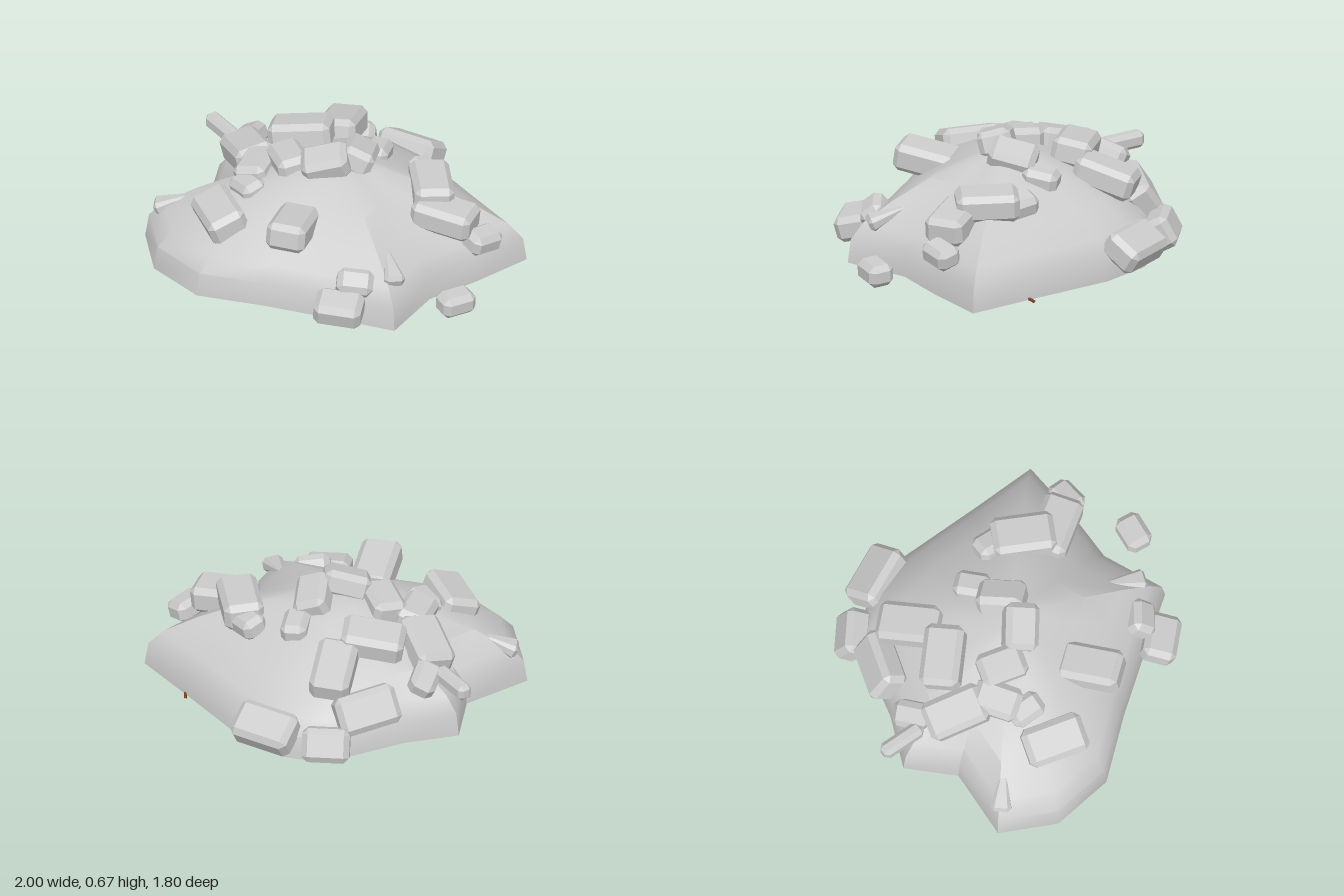
import * as THREE from 'three';
import { toCreasedNormals } from 'three/addons/utils/BufferGeometryUtils.js';
import { ConvexGeometry } from 'three/addons/geometries/ConvexGeometry.js';

const grey = new THREE.MeshStandardMaterial({ color: 0xcccccc });
const greyFlat = new THREE.MeshStandardMaterial({ color: 0xcccccc, flatShading: true });
const rust = new THREE.MeshStandardMaterial({ color: 0x7a4020 });
const UP = new THREE.Vector3(0, 1, 0);

// Ground outline of the mound (x, z), counter-clockwise from above
const outline = [
  [1, 0.03], [0.76, -0.24], [0.45, -0.6], [0.22, -0.76], [0, -0.8], [-0.4, -0.59],
  [-0.68, -0.5], [-0.7, -0.21], [-1, 0.02], [-0.92, 0.33], [-0.67, 0.56],
  [-0.3, 0.62], [0.1, 0.71], [0.39, 0.78], [0.54, 0.46], [0.76, 0.27],
];
// Rings of the mound: outline scale, height
const rings = [[1, 0.02], [0.98, 0.15], [0.9, 0.235], [0.72, 0.335], [0.48, 0.44], [0.24, 0.52]];

function moundGeometry() {
  const pos = [], idx = [], n = outline.length;
  for (const [s, y] of rings) for (const [x, z] of outline) pos.push(x * s, y, z * s);
  const apex = pos.length / 3, top = (rings.length - 1) * n;
  pos.push(0, 0.56, 0, 0, 0.02, 0);
  for (let i = 0; i < n; i++) {
    const j = (i + 1) % n;
    for (let r = 0; r < top; r += n) idx.push(r + i, r + j, r + j + n, r + i, r + j + n, r + i + n);
    idx.push(top + i, top + j, apex, apex + 1, j, i);
  }
  const g = new THREE.BufferGeometry();
  g.setAttribute('position', new THREE.Float32BufferAttribute(pos, 3));
  g.setIndex(idx);
  return toCreasedNormals(g, 0.65);
}

// Chamfered block; a taper below 1 narrows the +x end into a shard
function blockGeometry([l, h, w], taper) {
  const c = Math.min(0.03, h * 0.25);
  const pts = [];
  for (const sx of [-1, 1]) for (const sy of [-1, 1]) for (const sz of [-1, 1])
    for (const [ix, iy, iz] of [[0, c, c], [c, 0, c], [c, c, 0]]) {
      const k = sx > 0 ? taper : 1;
      pts.push(new THREE.Vector3(sx * (l / 2 - ix), sy * (h / 2 - iy) * k, sz * (w / 2 - iz) * k));
    }
  return new ConvexGeometry(pts);
}

// Rubble by size; each place is x, y, z, yaw and, where it breaks the slope rule, an outward tilt (degrees)
const rubble = [
  { name: 'largeBlock', size: [0.33, 0.15, 0.21], taper: 1, places: [
    [0.31, 0.17, -0.72, -25, 32], [-0.21, 0.27, -0.66, 27, 58], [-0.03, 0.42, -0.52, 83],
    [-0.22, 0.49, -0.33, -3], [-0.49, 0.41, -0.24, -64], [-0.58, 0.35, 0.28, -64],
    [-0.18, 0.4, 0.44, 80, -9], [0.5, 0.44, 0.03, -77, 3], [0.59, 0.37, 0.19, -15, 6],
  ] },
  { name: 'mediumBlock', size: [0.25, 0.14, 0.18], taper: 1, places: [
    [-0.01, 0.15, -0.82, 0, 62], [-0.42, 0.45, -0.03, 75], [-0.25, 0.51, -0.02, -65],
    [-0.05, 0.57, 0.06, 5, 22], [0.11, 0.55, -0.05, 85, 25], [0.1, 0.14, 0.78, -5, 15],
  ] },
  { name: 'smallBlock', size: [0.19, 0.12, 0.14], taper: 1, places: [
    [-0.5, 0.35, -0.47, 80, 30], [-0.45, 0.42, 0.12, -50], [0.19, 0.47, -0.21, 82],
    [0.45, 0.42, -0.13, -50], [0.69, 0.1, 0.59, 35, 3], [0.79, 0.26, 0.23, 45, 14],
    [0.17, 0.23, 0.67, 3, 40],
  ] },
  { name: 'slab', size: [0.25, 0.09, 0.08], taper: 1, places: [[-0.65, 0.36, -0.51, -50, 0]] },
  { name: 'shard', size: [0.21, 0.08, 0.11], taper: 0.3, places: [
    [-0.85, 0.25, 0.03, 0, 25], [0.35, 0.28, 0.58, 110],
  ] },
];

// Yaw the piece, then lean it outward, more steeply towards the foot of the mound
function settle(mesh, [x, y, z, yaw, tilt = 32 * Math.hypot(x, z)]) {
  const axis = new THREE.Vector3(z, 0, -x).normalize();
  mesh.position.set(x, y, z);
  mesh.quaternion.setFromAxisAngle(axis, THREE.MathUtils.degToRad(tilt));
  mesh.rotateOnAxis(UP, THREE.MathUtils.degToRad(yaw));
}

export function createModel() {
  const model = new THREE.Group();
  model.name = 'rubblePile';

  const mound = new THREE.Mesh(moundGeometry(), grey);
  mound.name = 'mound';
  model.add(mound);

  for (const { name, size, taper, places } of rubble) {
    const geometry = blockGeometry(size, taper);
    for (const place of places) {
      const mesh = new THREE.Mesh(geometry, greyFlat);
      mesh.name = name;
      settle(mesh, place);
      model.add(mesh);
    }
  }

  // Small bent rods poking out at ground level
  const curve = new THREE.CatmullRomCurve3([
    new THREE.Vector3(-0.03, 0.034, 0), new THREE.Vector3(0.005, 0.024, 0.006),
    new THREE.Vector3(0.03, 0.009, 0),
  ]);
  for (const [x, z, yaw] of [[0.76, -0.23, 1.4], [0.26, 0.54, 0.3]]) {
    const rod = new THREE.Mesh(new THREE.TubeGeometry(curve, 8, 0.008, 6), rust);
    rod.name = 'bentRod';
    rod.position.set(x, 0, z);
    rod.rotation.y = yaw;
    model.add(rod);
  }
  return model;
}
